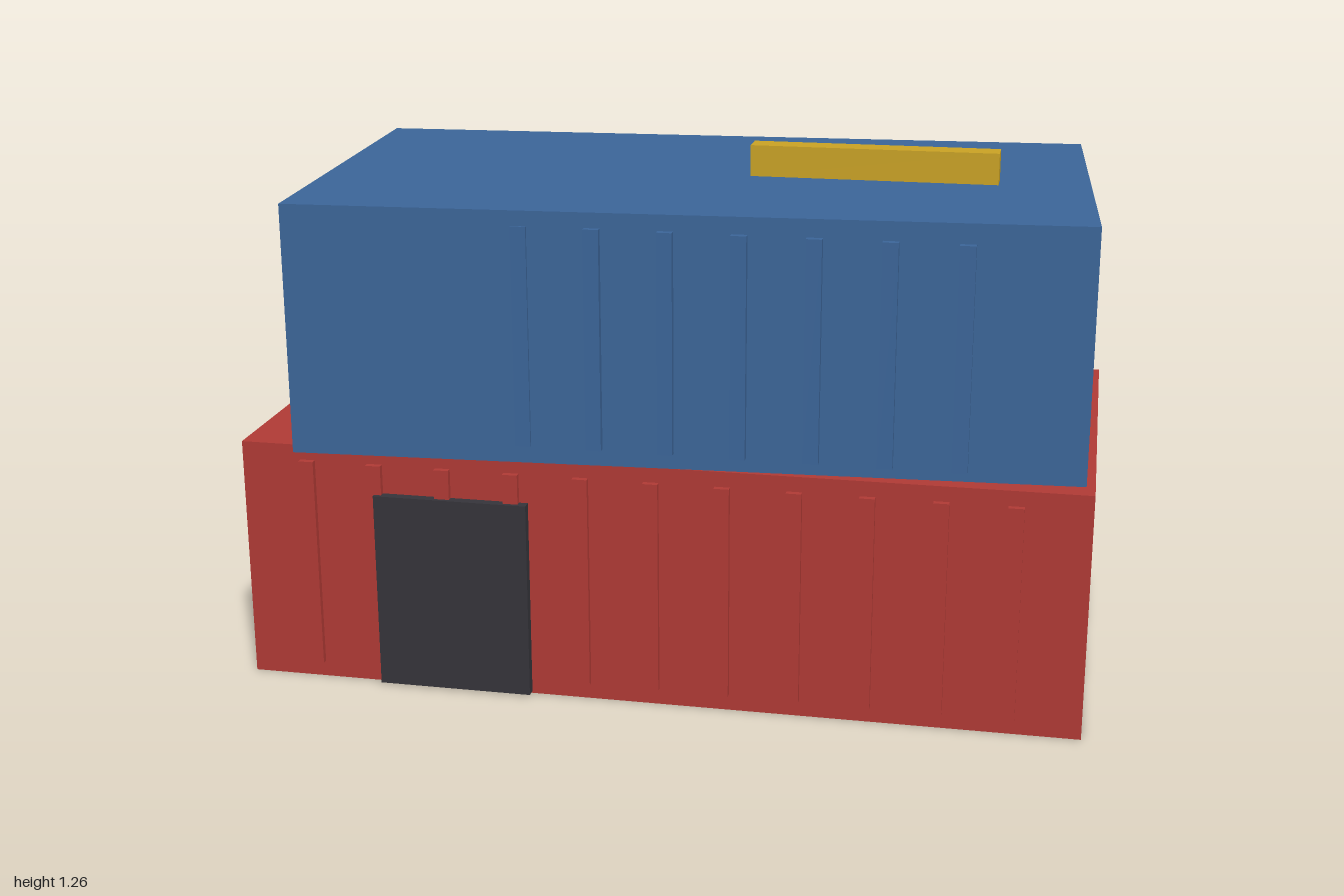
import * as THREE from 'three';

const paint = (name, color) => {
  const m = new THREE.MeshStandardMaterial({ color });
  m.name = name;
  return m;
};

export function createModel() {
  const red = paint('red', 0xb03a35);
  const blue = paint('blue', 0x3b6598);
  const yellow = paint('yellow', 0xc9a224);
  const charcoal = paint('charcoal', 0x35343a);

  const model = new THREE.Group();
  model.name = 'stackedContainers';

  const box = (name, material, size, position, parent = model) => {
    const mesh = new THREE.Mesh(new THREE.BoxGeometry(...size), material);
    mesh.name = name;
    mesh.position.set(...position);
    parent.add(mesh);
    return mesh;
  };

  // Evenly spaced upright ribs along the front wall
  const ribs = (name, material, firstX, count, y, z) => {
    const group = new THREE.Group();
    group.name = name;
    for (let i = 0; i < count; i++) {
      box('rib', material, [0.036, 0.517, 0.017], [firstX + i / 6, y, z], group);
    }
    model.add(group);
  };

  const H = 0.593; // height of each container

  // Lower container with its ribs and doorway
  box('lowerContainer', red, [2, H, 1], [0, H / 2, 0]);
  ribs('lowerRibs', red, -0.837, 11, 0.298, 0.506);
  box('door', charcoal, [0.372, 0.48, 0.033], [-0.484, 0.245, 0.507]);

  // Upper container, slightly twisted; its ribs stay square to the lower one
  const upper = box('upperContainer', blue, [1.833, H, 1], [0.035, H * 1.5, 0]);
  upper.rotation.y = 0.06;
  ribs('upperRibs', blue, -0.299, 7, 0.892, 0.518);

  // Beam on the roof
  box('roofBeam', yellow, [0.593, 0.075, 0.062], [0.441, 1.2235, 0]);

  return model;
}
